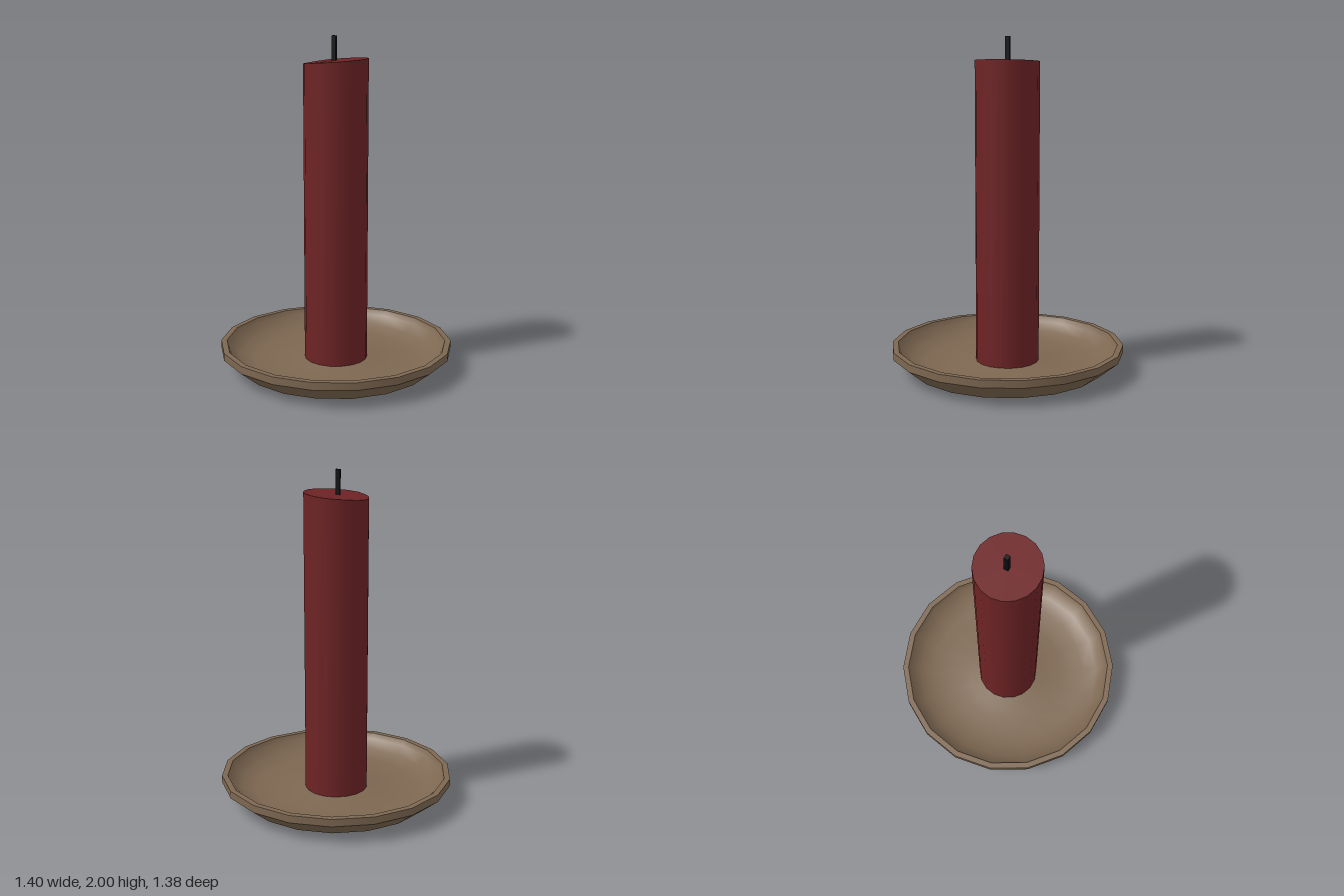
import * as THREE from 'three';

const SIDES = 18;

export function createModel() {
  const model = new THREE.Group();
  model.name = 'candleOnDish';

  const clay = new THREE.MeshStandardMaterial({ name: 'brown clay', color: 0x7d6751 });
  const wax = new THREE.MeshStandardMaterial({ name: 'dark red wax', color: 0x6e2325 });
  const black = new THREE.MeshStandardMaterial({ name: 'black wick', color: 0x0d0e10 });

  // Dish: one smooth lathe per band, so the edges between bands stay sharp
  const dish = new THREE.Group();
  dish.name = 'dish';
  const bands = {
    dishBase: [[0.17, 0.008], [0.35, 0.013], [0.573, 0.024]],
    dishFoot: [[0.573, 0.024], [0.582, 0.018]],
    dishUnderside: [[0.582, 0.018], [0.7, 0.115]],
    dishOuterRim: [[0.7, 0.115], [0.7, 0.16]],
    dishRimTop: [[0.7, 0.16], [0.665, 0.16]],
    dishInside: [[0.665, 0.16], [0.65, 0.125], [0.59, 0.075], [0.5, 0.047], [0.36, 0.043], [0.25, 0.054], [0.17, 0.064]],
  };
  for (const [name, points] of Object.entries(bands)) {
    const profile = points.map(([r, y]) => new THREE.Vector2(r, y));
    const band = new THREE.Mesh(new THREE.LatheGeometry(profile, SIDES, Math.PI / 2), clay);
    band.name = name;
    dish.add(band);
  }
  model.add(dish);

  // Candle: cylinder whose upper end is melted to a slope
  const height = 1.858;
  const candleGeo = new THREE.CylinderGeometry(0.19, 0.19, height, SIDES, 1, false, Math.PI / 2);
  candleGeo.translate(0, height / 2, 0);
  const pos = candleGeo.attributes.position;
  for (let i = 0; i < pos.count; i++) {
    if (pos.getY(i) < 1) continue;
    const x = pos.getX(i);
    pos.setY(i, height + (x > -0.11 ? 0.075 * x : 0.15 * x + 0.008));
  }
  const candle = new THREE.Mesh(candleGeo, wax);
  candle.name = 'candle';
  model.add(candle);

  // Wick
  const wick = new THREE.Mesh(new THREE.BoxGeometry(0.026, 0.16, 0.026), black);
  wick.name = 'wick';
  wick.position.set(-0.01, 1.92, 0);
  model.add(wick);

  return model;
}
